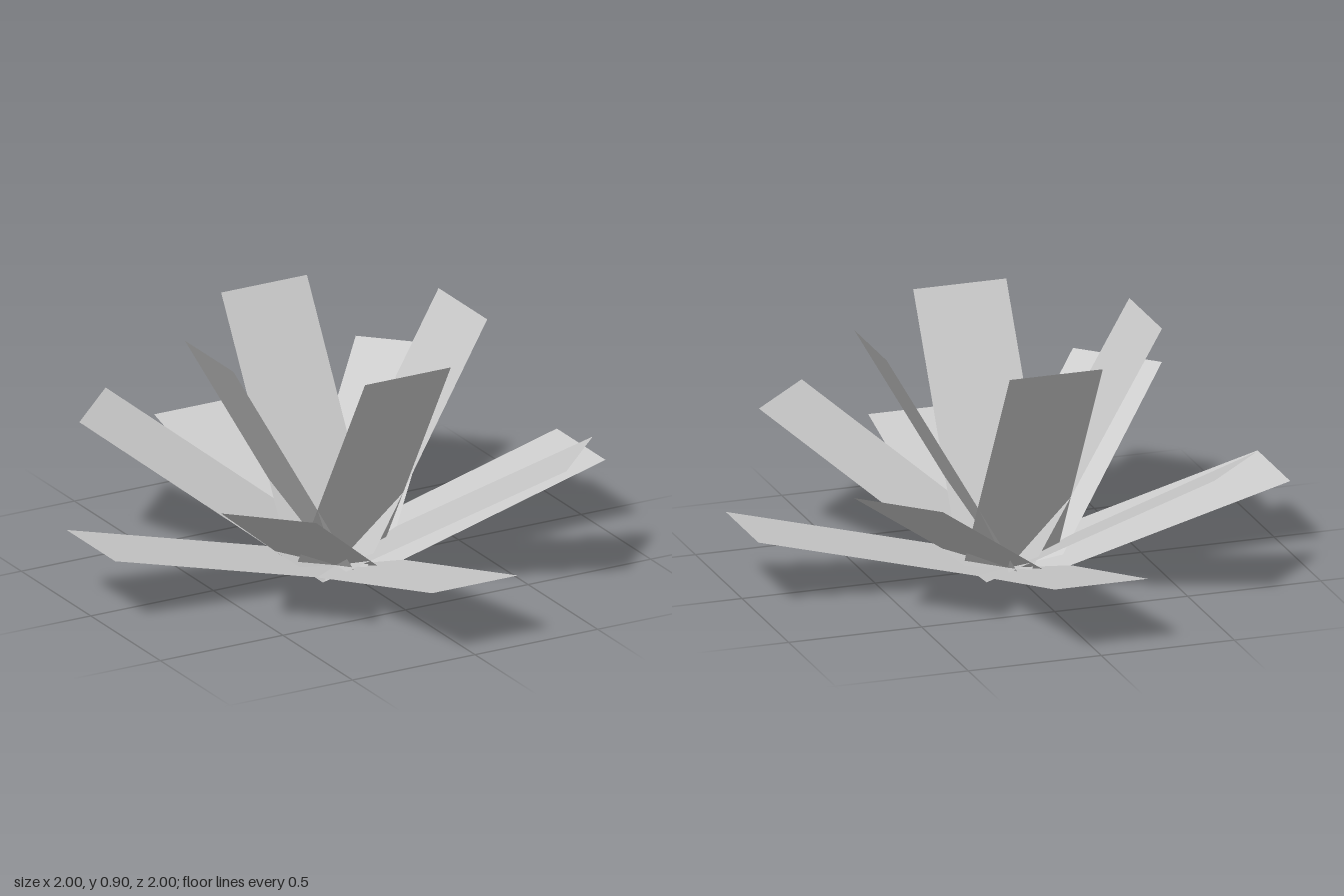
import * as THREE from 'three';

const WIDTH = 0.35;
const LENGTH = 1.035;

export function createModel() {
  const model = new THREE.Group();
  model.name = 'plant';
  const material = new THREE.MeshStandardMaterial({ color: 0xcccccc, side: THREE.DoubleSide, flatShading: true });

  // Ring of four flat leaves hinged at the centre, each facing upwards
  function addLeafRing(name, elevation, turn) {
    const geometry = new THREE.PlaneGeometry(WIDTH, LENGTH)
      .translate(0, LENGTH / 2, 0)
      .rotateY(Math.PI)
      .rotateX(THREE.MathUtils.degToRad(90 - elevation));
    const ring = new THREE.Group();
    ring.name = name + 'Ring';
    for (let i = 0; i < 4; i++) {
      const leaf = new THREE.Mesh(geometry, material);
      leaf.name = name;
      leaf.rotation.y = turn + i * Math.PI / 2;
      ring.add(leaf);
    }
    model.add(ring);
  }

  addLeafRing('innerLeaf', 60, 0);
  addLeafRing('middleLeaf', 30, Math.PI / 4);
  addLeafRing('outerLeaf', 15, 0);
  return model;
}
